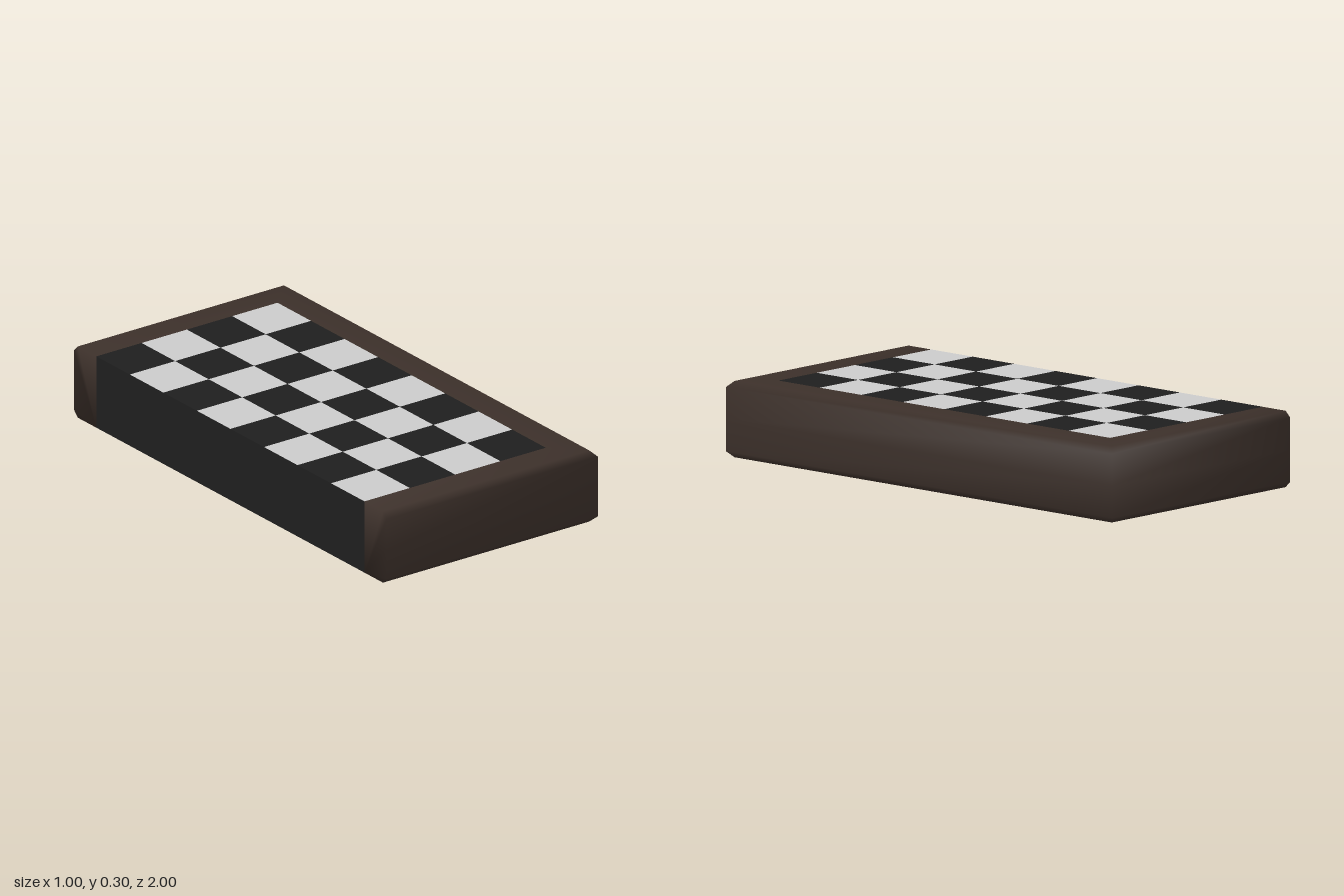
import * as THREE from 'three';

const H = 0.296, HALF_X = 0.5, HALF_Z = 1, BORDER = 0.142, BEVEL = 0.024;

const wood = new THREE.MeshStandardMaterial({ color: 0x3c302a });
const light = new THREE.MeshStandardMaterial({ color: 0xcccccc });
const dark = new THREE.MeshStandardMaterial({ color: 0x1e1e1e });

// U-shaped border: one bevelled profile mitred around three sides, smooth shaded
function frameGeometry() {
  // [inset from the outer edge, height]
  const profile = [
    [BORDER, 0], [BEVEL, 0], [0, BEVEL], [0, H / 2],
    [0, H - BEVEL], [BEVEL, H], [BORDER, H],
  ];
  // [x, inset factor in x, sign of z] at each end and corner
  const stations = [[-HALF_X, 0, 1], [HALF_X, 1, 1], [HALF_X, 1, -1], [-HALF_X, 0, -1]];
  const n = profile.length, pos = [], idx = [];
  for (const [x, inset, side] of stations)
    for (const [d, y] of profile) pos.push(x - inset * d, y, side * (HALF_Z - d));
  for (let i = 0; i < 3; i++)
    for (let j = 0; j < n - 1; j++) {
      const a = i * n + j, b = a + n;
      idx.push(a, b, b + 1, a, b + 1, a + 1);
    }
  // end caps on the open side
  const e = 3 * n;
  for (let j = 1; j < n - 1; j++) idx.push(0, j, j + 1, e, e + j + 1, e + j);
  const g = new THREE.BufferGeometry();
  g.setAttribute('position', new THREE.Float32BufferAttribute(pos, 3));
  g.setIndex(idx);
  g.computeVertexNormals();
  return g;
}

// 4 x 8 chequered field, facing up or down
function field(name, y, up) {
  const group = new THREE.Group();
  group.name = name;
  const w = (2 * HALF_X - BORDER) / 4, l = (2 * HALF_Z - 2 * BORDER) / 8;
  const square = new THREE.PlaneGeometry(w, l).rotateX(up ? -Math.PI / 2 : Math.PI / 2);
  for (let i = 0; i < 4; i++)
    for (let k = 0; k < 8; k++) {
      const isDark = ((i + k) % 2 === 0) === up;
      const m = new THREE.Mesh(square, isDark ? dark : light);
      m.name = isDark ? 'darkSquare' : 'lightSquare';
      m.position.set(-HALF_X + (i + 0.5) * w, y, -HALF_Z + BORDER + (k + 0.5) * l);
      group.add(m);
    }
  return group;
}

export function createModel() {
  const model = new THREE.Group();
  model.name = 'halfBoard';

  const frame = new THREE.Mesh(frameGeometry(), wood);
  frame.name = 'frame';
  model.add(frame, field('topField', H, true), field('bottomField', 0, false));

  // dark panel closing the side where the board is split
  const panel = new THREE.Mesh(
    new THREE.PlaneGeometry(2 * (HALF_Z - BORDER), H).rotateY(-Math.PI / 2), dark);
  panel.name = 'splitSide';
  panel.position.set(-HALF_X, H / 2, 0);
  model.add(panel);
  return model;
}
